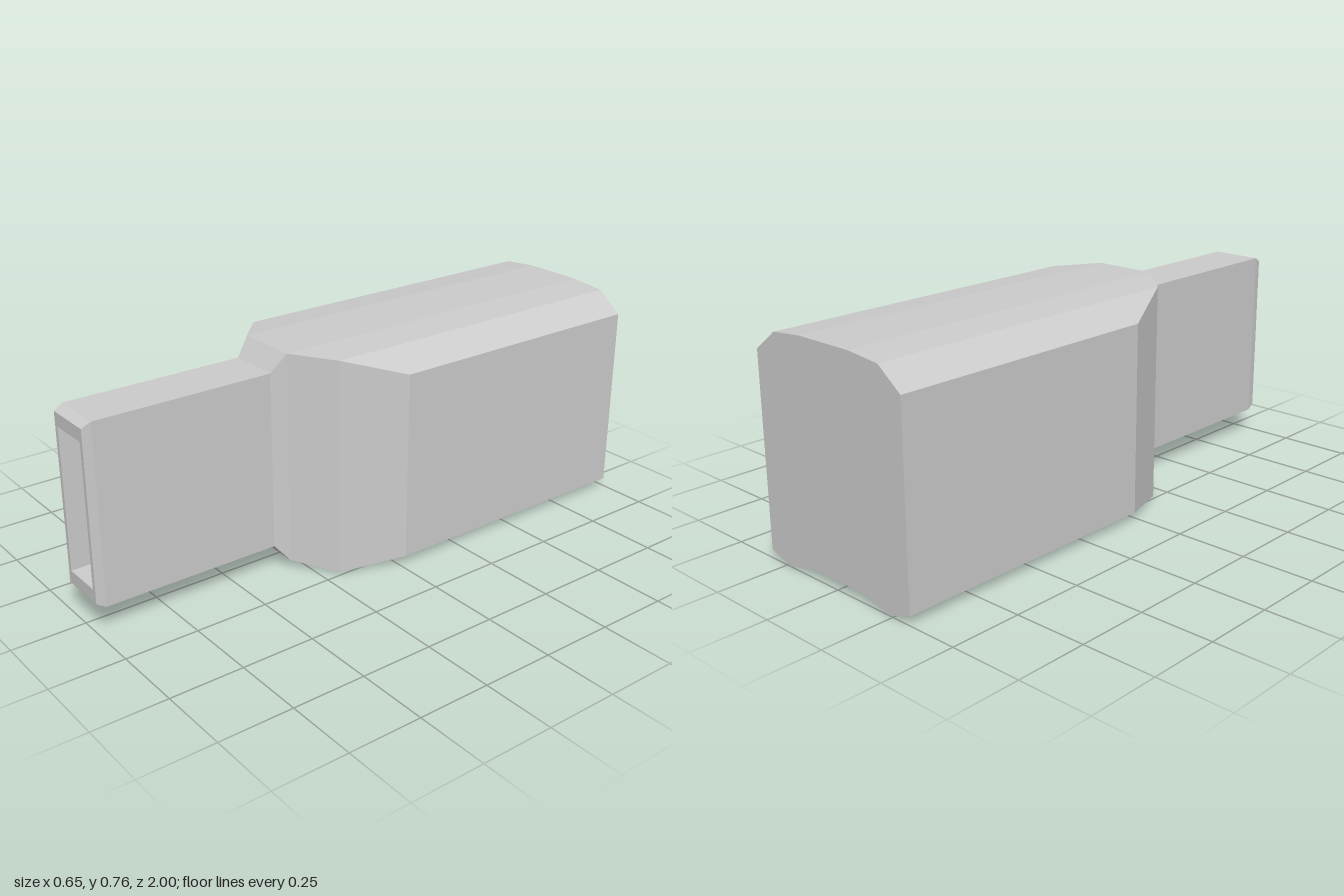
import * as THREE from 'three';

// Collects flat-shaded quads (corners counter-clockwise seen from outside)
function quadMesh(name, quads) {
  const pos = [];
  for (const [a, b, c, d] of quads) pos.push(...a, ...b, ...c, ...a, ...c, ...d);
  const g = new THREE.BufferGeometry();
  g.setAttribute('position', new THREE.Float32BufferAttribute(pos, 3));
  g.computeVertexNormals();
  const mesh = new THREE.Mesh(g, new THREE.MeshStandardMaterial({ color: 0xcccccc, flatShading: true }));
  mesh.name = name;
  return mesh;
}

// Joins rectangular rings [z, halfWidth, bottom, top] one after another
function loft(rings, skip = () => false) {
  const quads = [];
  const pts = ([z, h, y0, y1]) => [[-h, y0, z], [h, y0, z], [h, y1, z], [-h, y1, z]];
  for (let i = 0; i + 1 < rings.length; i++) {
    const a = pts(rings[i]), b = pts(rings[i + 1]);
    for (let j = 0; j < 4; j++) {
      const k = (j + 1) % 4;
      if (!skip(i, j)) quads.push([a[j], a[k], b[k], b[j]]);
    }
  }
  return quads;
}

const BACK = -1;
const WELL = { half: 0.135, z0: -0.69, z1: -0.17, y0: 0.024, y1: 0.56 };

// Body columns by distance from the middle: [x, bottom, top, front z]
const COLUMNS = [
  [0, 0.03, 0.76, 0.30],
  [0.11, 0.03, 0.76, 0.30],
  [0.235, 0, 0.748, 0.19],
  [0.325, 0.03, 0.68, -0.02],
];
function column(x) {
  const ax = Math.abs(x);
  let i = 0;
  while (i < COLUMNS.length - 2 && ax > COLUMNS[i + 1][0]) i++;
  const p = COLUMNS[i], q = COLUMNS[i + 1];
  const t = (ax - p[0]) / (q[0] - p[0]);
  const mix = (k) => p[k] + (q[k] - p[k]) * t;
  return { x, lo: mix(1), hi: mix(2), z: mix(3) };
}

function bodyQuads() {
  const quads = [];
  const half = [0.11, WELL.half, 0.235, 0.325];
  const xs = [...half.map((x) => -x).reverse(), ...half];
  const cols = xs.map(column);
  for (let i = 0; i + 1 < cols.length; i++) {
    const l = cols[i], r = cols[i + 1];
    const top = (c, z) => [c.x, c.hi, z], low = (c, z) => [c.x, c.lo, z];
    const floor = (zl, zr, zb) => quads.push([low(l, zb), low(r, zb), low(r, zr), low(l, zl)]);
    quads.push([top(l, l.z), top(r, r.z), top(r, BACK), top(l, BACK)]);
    quads.push([low(r, BACK), low(l, BACK), top(l, BACK), top(r, BACK)]);
    // underside, split around the rectangular opening
    if (Math.abs(l.x + r.x) / 2 < WELL.half) {
      floor(l.z, r.z, WELL.z1);
      floor(WELL.z0, WELL.z0, BACK);
    } else floor(l.z, r.z, BACK);
    // front facets; the neck closes the middle one
    if (l.x * r.x > 0) quads.push([low(l, l.z), low(r, r.z), top(r, r.z), top(l, l.z)]);
  }
  // straight side walls
  const e = column(0.325);
  for (const s of [-1, 1]) {
    const p = [s * e.x, e.lo, e.z], q = [s * e.x, e.lo, BACK];
    const u = [s * e.x, e.hi, BACK], v = [s * e.x, e.hi, e.z];
    quads.push(s > 0 ? [p, q, u, v] : [q, p, v, u]);
  }
  return quads;
}

export function createModel() {
  const group = new THREE.Group();
  group.name = 'housing';
  group.add(quadMesh('body', bodyQuads()));

  // Flared collar, long neck, chamfered tip and front rim
  group.add(quadMesh('neck', loft([
    [0.30, 0.11, 0.03, 0.76],
    [0.35, 0.09, 0.09, 0.70],
    [0.97, 0.09, 0.09, 0.70],
    [1, 0.085, 0.107, 0.683],
    [1, 0.07, 0.153, 0.638],
  ])));

  // Tapering passage from the mouth back to the well
  const end = [WELL.z1, 0.063, 0.21, 0.483];
  group.add(quadMesh('passage', loft([
    [1, 0.07, 0.153, 0.638],
    [0.35, 0.063, 0.17, 0.527],
    [0.2, 0.063, 0.175, 0.515],
    end,
  ])));

  // Well open at the underside: front wall, sides, ceiling and back wall
  const { half: h, z0, z1, y0, y1 } = WELL;
  const well = loft([end, [z1, h, y0, y1], [z0, h, y0, y1]], (i, j) => i === 1 && j === 0);
  well.push([[-h, y0, z0], [h, y0, z0], [h, y1, z0], [-h, y1, z0]]);
  group.add(quadMesh('well', well));
  return group;
}
